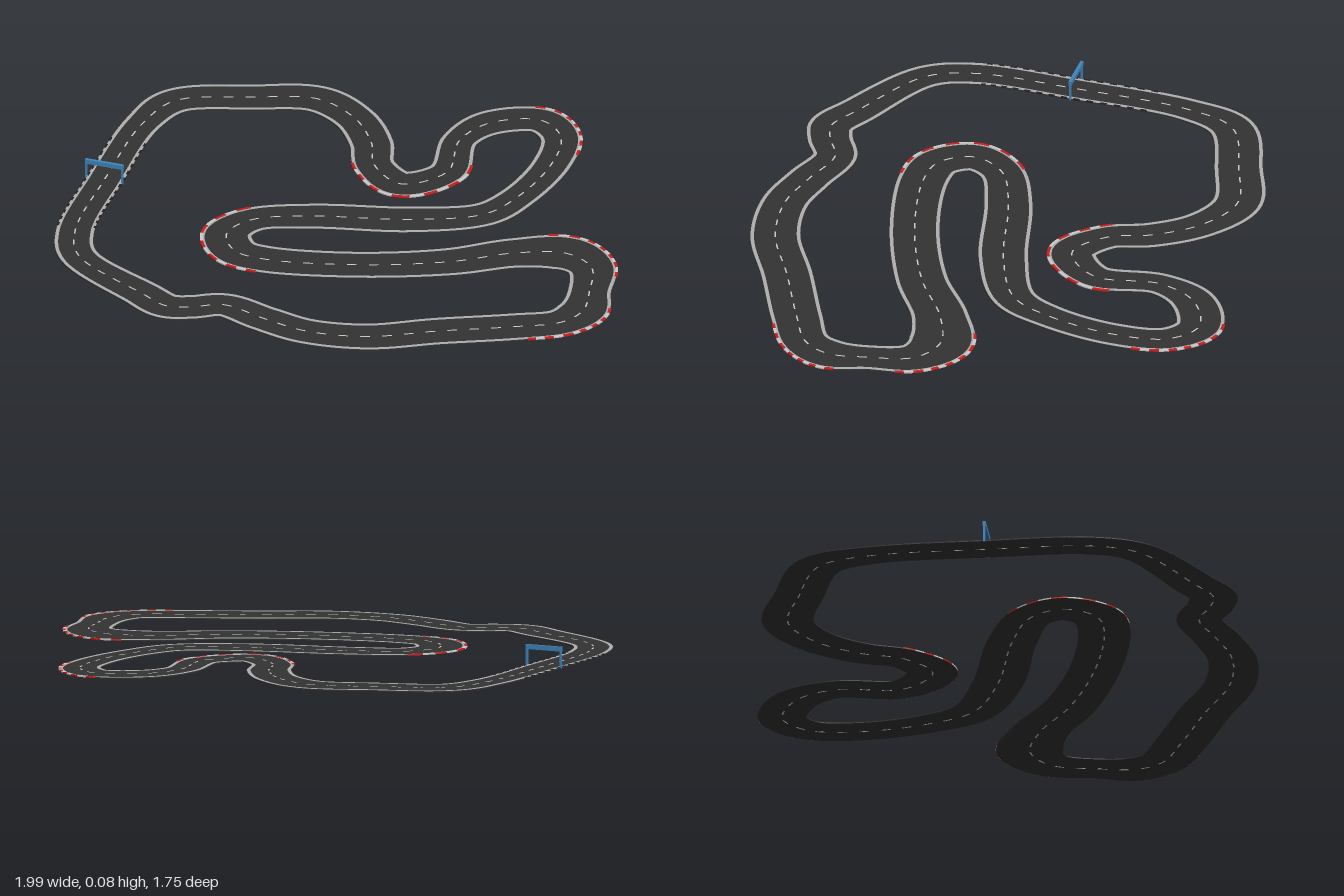
import * as THREE from 'three';

// Centre line of the circuit: x, z and half width at each knot, clockwise from the start line
const KNOTS = [
  [-0.925, 0.05, 0.067], [-0.92, -0.35, 0.068], [-0.86, -0.525, 0.082], [-0.62, -0.628, 0.085],
  [-0.41, -0.688, 0.088], [-0.25, -0.61, 0.08], [-0.14, -0.47, 0.078], [-0.08, -0.33, 0.075],
  [0.045, -0.245, 0.085], [0.165, -0.365, 0.073], [0.14, -0.59, 0.067], [0.205, -0.73, 0.082],
  [0.357, -0.798, 0.083], [0.457, -0.72, 0.073], [0.487, -0.53, 0.07], [0.447, -0.29, 0.07],
  [0.375, -0.145, 0.078], [0.152, -0.033, 0.087], [-0.17, 0.053, 0.085], [-0.36, 0.14, 0.08],
  [-0.415, 0.255, 0.088], [-0.35, 0.358, 0.09], [-0.243, 0.377, 0.09], [0.06, 0.315, 0.088],
  [0.366, 0.19, 0.092], [0.56, 0.063, 0.1], [0.725, 0.01, 0.115], [0.835, 0.07, 0.09],
  [0.88, 0.22, 0.076], [0.9, 0.355, 0.092], [0.855, 0.448, 0.088], [0.714, 0.527, 0.09],
  [0.473, 0.64, 0.09], [0.26, 0.75, 0.088], [0.05, 0.783, 0.084], [-0.115, 0.75, 0.082],
  [-0.273, 0.708, 0.078], [-0.375, 0.758, 0.08], [-0.455, 0.778, 0.082], [-0.565, 0.724, 0.08],
  [-0.84, 0.565, 0.07], [-0.91, 0.41, 0.068],
];
const N = KNOTS.length;

// The y coordinate of the curve carries the half width
const path = new THREE.CatmullRomCurve3(KNOTS.map(([x, z, h]) => new THREE.Vector3(x, h, z)), true);
path.arcLengthDivisions = 1000;

// Point beside the centre line; offset is a function of the half width
function beside(t, offset, y) {
  const u = ((t % 1) + 1) % 1;
  const p = path.getPoint(u);
  const d = path.getTangent(u);
  const s = offset(p.y) / Math.hypot(d.x, d.z);
  return [p.x + d.z * s, y, p.z - d.x * s];
}

// Rectangular strip swept along the path from t0 to t1, between offsets a (right) and b (left)
function strip(out, t0, t1, a, b, y0, y1, steps) {
  const ring = (i) => {
    const t = t0 + ((t1 - t0) * i) / steps;
    return [beside(t, a, y0), beside(t, a, y1), beside(t, b, y1), beside(t, b, y0)];
  };
  let p = ring(0);
  for (let i = 1; i <= steps; i++) {
    const q = ring(i);
    for (let k = 0; k < 4; k++) {
      const m = (k + 1) % 4;
      out.push(...p[k], ...q[k], ...q[m], ...p[k], ...q[m], ...p[m]);
    }
    p = q;
  }
}

function edgeStrip(out, side, t0, t1, inset0, inset1, y0, y1, steps) {
  const inner = (h) => side * (h - inset0);
  const outer = (h) => side * (h - inset1);
  if (side > 0) strip(out, t0, t1, inner, outer, y0, y1, steps);
  else strip(out, t0, t1, outer, inner, y0, y1, steps);
}

function stripMesh(name, positions, color) {
  const g = new THREE.BufferGeometry();
  g.setAttribute('position', new THREE.Float32BufferAttribute(positions, 3));
  g.computeVertexNormals();
  const mesh = new THREE.Mesh(g, new THREE.MeshStandardMaterial({ color, side: THREE.DoubleSide }));
  mesh.name = name;
  return mesh;
}

export function createModel() {
  const model = new THREE.Group();
  model.name = 'raceTrack';

  // Asphalt slab
  const road = [];
  strip(road, 0, 1, (h) => -h, (h) => h, 0.0006, 0.004, N * 10);
  model.add(stripMesh('road', road, 0x333333));

  // Pale border line on both sides
  const borders = [];
  for (const side of [1, -1]) edgeStrip(borders, side, 0, 1, 0.015, 0.003, 0.003, 0.0048, N * 10);
  model.add(stripMesh('borderLines', borders, 0xb0b0b0));

  // Centre dashes
  const dashes = [];
  const count = Math.round(path.getLength() / 0.075);
  for (let i = 0; i < count; i++) {
    const t0 = path.getUtoTmapping(i / count);
    const t1 = path.getUtoTmapping((i + 0.45) / count);
    strip(dashes, t0, t1, () => -0.0025, () => 0.0025, 0, 0.0048, 3);
  }
  model.add(stripMesh('centreDashes', dashes, 0xdddddd));

  // Red and white kerbs on the outside of the tight bends: side, first knot, last knot
  const kerbs = { red: [], white: [] };
  for (const [side, from, to] of [[-1, 6.8, 9.3], [1, 11.8, 13.6], [-1, 18.9, 22], [1, 25.6, 27.4], [1, 28.7, 30.8]]) {
    const blocks = 13;
    for (let i = 0; i < blocks; i++) {
      const t = (k) => (from + ((to - from) * k) / blocks) / N;
      edgeStrip(i % 2 ? kerbs.white : kerbs.red, side, t(i), t(i + 1), 0.009, -0.001, 0.001, 0.0056, 4);
    }
  }
  model.add(stripMesh('redKerbs', kerbs.red, 0xc81e1e));
  model.add(stripMesh('whiteKerbs', kerbs.white, 0xdddddd));

  // Dark blocks along the start straight
  const blocks = [];
  for (const side of [1, -1]) {
    for (let i = 0; i < 14; i++) {
      const t = -0.9 / N + (i * 1.6) / N / 14;
      edgeStrip(blocks, side, t, t + 0.8 / N / 14, 0.008, 0, 0.001, 0.0055, 1);
    }
  }
  model.add(stripMesh('straightBlocks', blocks, 0x222222));

  // Start gate
  const gate = new THREE.Group();
  gate.name = 'startGate';
  gate.position.set(-0.925, 0, 0.054);
  const blue = new THREE.MeshStandardMaterial({ color: 0x3f86bd });
  const box = (name, w, h, d, x, y) => {
    const m = new THREE.Mesh(new THREE.BoxGeometry(w, h, d), blue);
    m.name = name;
    m.position.set(x, y, 0);
    gate.add(m);
  };
  for (const s of [1, -1]) box(s > 0 ? 'leftPost' : 'rightPost', 0.007, 0.074, 0.007, s * 0.065, 0.037);
  box('beam', 0.137, 0.016, 0.011, 0, 0.067);
  model.add(gate);

  return model;
}
